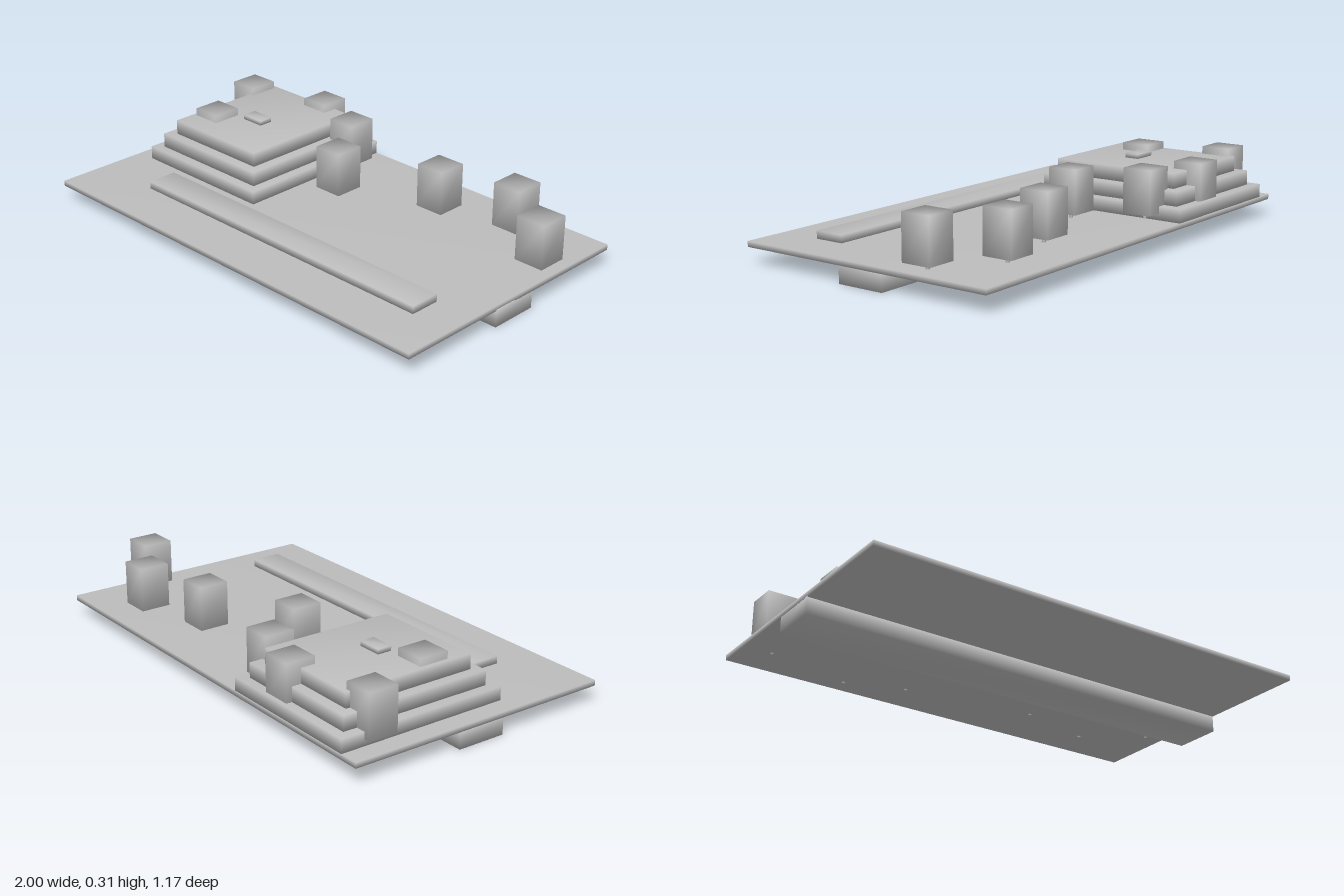
import * as THREE from 'three';
import { mergeVertices } from 'three/addons/utils/BufferGeometryUtils.js';

// Box with shared corners, so its shading runs smoothly over the edges
function softBox(w, h, d) {
  const box = new THREE.BoxGeometry(w, h, d);
  box.deleteAttribute('normal');
  box.deleteAttribute('uv');
  const g = mergeVertices(box);
  g.computeVertexNormals();
  return g;
}

export function createModel() {
  const model = new THREE.Group();
  model.name = 'landscape';
  const grey = new THREE.MeshStandardMaterial({ color: 0xbcbcbc });
  grey.name = 'stone grey';

  // Adds a block given by its lower and upper bounds
  const block = (name, [x0, x1], [y0, y1], [z0, z1], parent = model) => {
    const mesh = new THREE.Mesh(softBox(x1 - x0, y1 - y0, z1 - z0), grey);
    mesh.position.set((x0 + x1) / 2, (y0 + y1) / 2, (z0 + z1) / 2);
    mesh.name = name;
    parent.add(mesh);
  };

  // Ground slab, beam beneath it and the raised path
  block('ground', [-1, 1], [0.07, 0.093], [-0.583, 0.583]);
  block('beam', [-1, 1], [0, 0.075], [-0.105, 0.105]);
  block('path', [-0.667, 0.833], [0.1, 0.132], [0.248, 0.378]);

  // Stepped hill with a small block on top
  const hill = new THREE.Group();
  hill.name = 'hill';
  model.add(hill);
  block('lowerTerrace', [-0.918, -0.255], [0.093, 0.15], [-0.583, 0.165], hill);
  block('middleTerrace', [-0.876, -0.295], [0.15, 0.212], [-0.542, 0.125], hill);
  block('upperTerrace', [-0.835, -0.337], [0.212, 0.275], [-0.5, 0.083], hill);
  block('summitBlock', [-0.638, -0.532], [0.275, 0.295], [-0.2, -0.137], hill);

  // Trees: square crowns on thin trunks
  const spots = [
    [-0.878, -0.417], [-0.503, -0.502], [-0.253, -0.417], [-0.755, -0.083],
    [-0.085, -0.167], [0.332, -0.335], [0.664, -0.417], [0.914, -0.25],
  ];
  for (const [x, z] of spots) {
    const tree = new THREE.Group();
    tree.name = 'tree';
    tree.position.set(x, 0, z);
    block('trunk', [-0.006, 0.006], [0.068, 0.13], [-0.006, 0.006], tree);
    block('crown', [-0.065, 0.065], [0.12, 0.307], [-0.065, 0.065], tree);
    model.add(tree);
  }
  return model;
}
